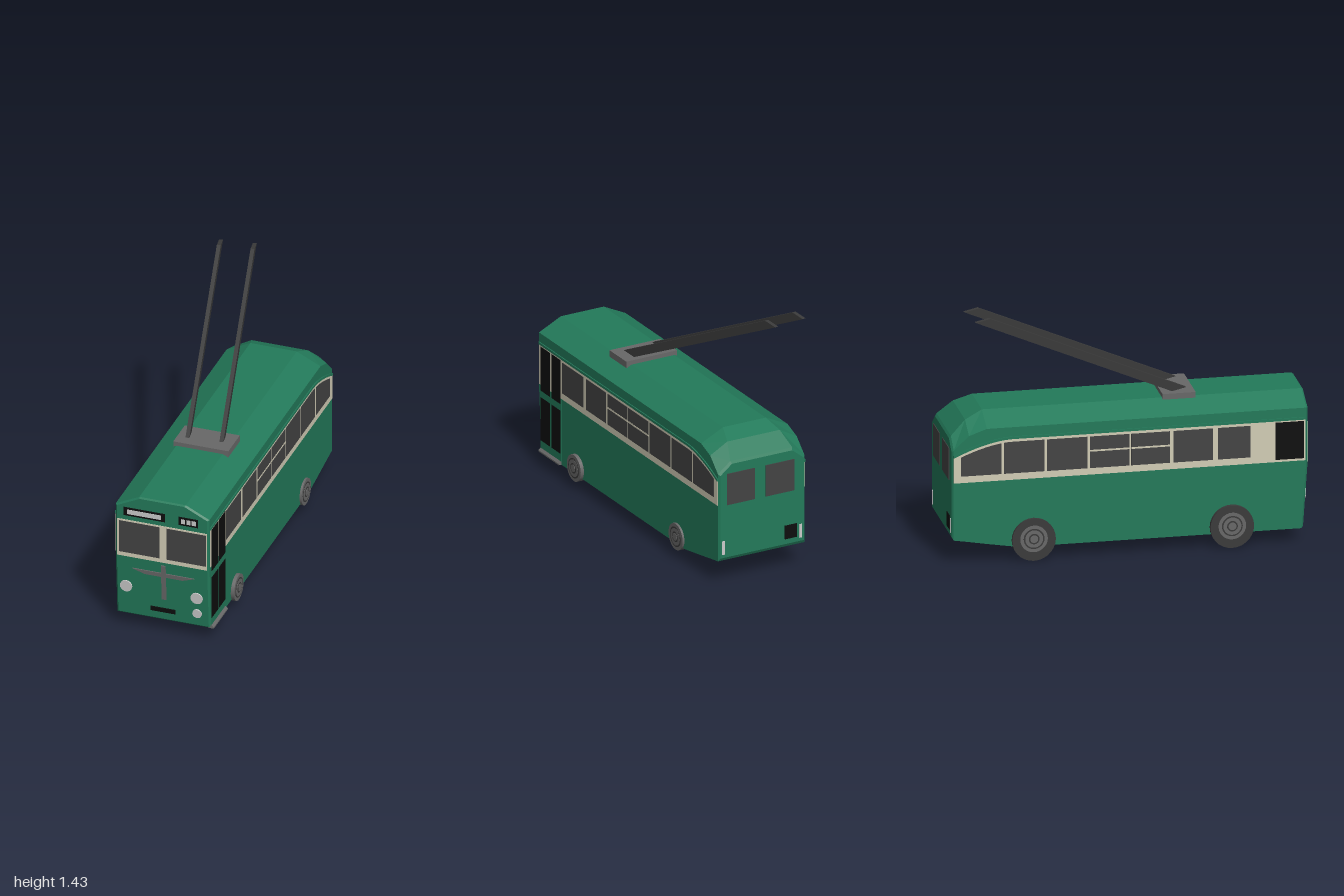
import * as THREE from 'three';

const paint = (name, color) => Object.assign(new THREE.MeshStandardMaterial({ color }), { name });

export function createModel() {
  const green = paint('green paint', 0x237a5a);
  const cream = paint('cream paint', 0xd2cdb6);
  const glass = paint('window glass', 0x444444);
  const black = paint('black', 0x0e0e0e);
  const grey = paint('grey metal', 0x686868);
  const light = paint('pale lamps', 0xcccccc);
  const dark = paint('dark rubber', 0x3a3a3a);

  const model = new THREE.Group();
  model.name = 'trolleybus';
  const CX = 0.0225, W = 0.2725;

  function add(name, geometry, material, parent = model) {
    const mesh = new THREE.Mesh(geometry, material);
    mesh.name = name;
    parent.add(mesh);
    return mesh;
  }
  function box(name, material, x0, x1, y0, y1, z0, z1, parent) {
    const mesh = add(name, new THREE.BoxGeometry(x1 - x0, y1 - y0, z1 - z0), material, parent);
    mesh.position.set((x0 + x1) / 2, (y0 + y1) / 2, (z0 + z1) / 2);
    return mesh;
  }

  // Body shell: eight-point sections lofted from front to back
  const sections = [
    { z: 0.992, w: W - 0.01, b: 0.09, e: 0.77, s: 0.13, t: 0.835, tilt: 0.07 },
    { z: 0.982, w: W, b: 0.08, e: 0.775, s: 0.135, t: 0.842, tilt: 0.07 },
    { z: 0.7, w: W, b: 0.08, e: 0.775, s: 0.135, t: 0.842 },
    { z: -0.62, w: W, b: 0.08, e: 0.775, s: 0.135, t: 0.842 },
    { z: -0.8, w: W, b: 0.11, e: 0.775, s: 0.135, t: 0.842 },
    { z: -0.9, w: W, b: 0.128, e: 0.74, s: 0.165, t: 0.8 },
    { z: -0.985, w: W, b: 0.142, e: 0.66, s: 0.195, t: 0.722 },
    { z: -0.995, w: W - 0.01, b: 0.16, e: 0.65, s: 0.19, t: 0.708 },
  ].map(({ z, w, b, e, s, t, tilt = 0 }) =>
    [[-w, b], [w, b], [w, 0.46], [w, e], [s, t], [-s, t], [-w, e], [-w, 0.46]]
      .map(([x, y]) => [x + CX, y, z - tilt * Math.max(0, 0.46 - y)]));
  const pos = [];
  const tri = (...corners) => corners.forEach((p) => pos.push(...p));
  for (let k = 0; k < sections.length - 1; k++) {
    for (let i = 0; i < 8; i++) {
      const j = (i + 1) % 8, f = sections[k], r = sections[k + 1];
      tri(f[i], r[i], r[j]);
      tri(f[i], r[j], f[j]);
    }
  }
  const front = sections[0], rear = sections[sections.length - 1];
  for (const [p, i, j] of [[0, 1, 2], [0, 2, 7], [7, 2, 3], [7, 3, 6], [6, 3, 4], [6, 4, 5]]) {
    tri(front[p], front[i], front[j]);
    tri(rear[p], rear[j], rear[i]);
  }
  const shell = new THREE.BufferGeometry();
  shell.setAttribute('position', new THREE.Float32BufferAttribute(pos, 3));
  shell.computeVertexNormals();
  add('bodyShell', shell, green);

  // Flat plates on the sides, outlined by [z, y] points
  function sidePlate(name, material, side, points, depth, offset = 0) {
    const shape = new THREE.Shape(points.map(([z, y]) => new THREE.Vector2(-side * z, y)));
    const geometry = new THREE.ExtrudeGeometry(shape, { depth, bevelEnabled: false });
    geometry.rotateY(side * Math.PI / 2);
    add(name, geometry, material).position.x = CX + side * (W + offset);
  }
  const rect = (z0, z1, y0, y1) => [[z0, y0], [z1, y0], [z1, y1], [z0, y1]];
  // Top line of the window band, curving down towards the rear
  const bandTop = (z) => 0.708 - 0.098 * Math.pow(Math.max(0, -0.66 - z) / 0.34, 1.7);
  const curve = (z0, z1, lift) => Array.from({ length: 9 }, (_, i) => {
    const z = z0 + (z1 - z0) * i / 8;
    return [z, bandTop(z) + lift];
  });
  const windows = [[0.72, 0.49], [0.46, 0.24], [0.22, 0.005], [-0.005, -0.225],
    [-0.24, -0.465], [-0.48, -0.705], [-0.72, -0.945]];

  for (const side of [1, -1]) {
    const bandFront = side > 0 ? 0.73 : 0.978;
    sidePlate('creamBand', cream, side,
      [[bandFront, 0.472], [-0.985, 0.472], ...curve(-0.985, -0.66, 0), [bandFront, 0.708]], 0.002);
    sidePlate('gutter', green, side,
      [[0.978, 0.708], ...curve(-0.66, -0.985, 0), ...curve(-0.985, -0.66, 0.014), [0.978, 0.722]], 0.006);
    windows.forEach(([a, b], i) => {
      const start = side < 0 && i === 0 ? 0.67 : a;
      sidePlate('sideWindow', glass, side,
        [[start, 0.51], [b, 0.51], ...curve(b, start, -0.016)], 0.002, 0.002);
      if (i === 2 || i === 3) sidePlate('windowBar', cream, side, rect(a, b, 0.605, 0.615), 0.002, 0.003);
    });
  }

  // Driver's side opening
  sidePlate('cabWindow', black, -1, rect(0.81, 0.968, 0.485, 0.7), 0.002, 0.002);

  // Entrance door with four panes and a step
  sidePlate('doorSurround', cream, 1, rect(0.73, 0.978, 0.472, 0.708), 0.002);
  sidePlate('doorLowerFrame', green, 1, rect(0.73, 0.962, 0.1, 0.472), 0.003);
  for (const [a, b] of [[0.74, 0.838], [0.854, 0.957]]) {
    sidePlate('doorUpperPane', black, 1, rect(a, b, 0.44, 0.7), 0.002, 0.003);
    sidePlate('doorLowerPane', black, 1, rect(a, b, 0.145, 0.4), 0.002, 0.003);
  }
  const stepShape = new THREE.Shape([[0.28, 0.08], [0.312, 0.08], [0.312, 0.088], [0.28, 0.115]]
    .map((p) => new THREE.Vector2(...p)));
  add('doorStep', new THREE.ExtrudeGeometry(stepShape, { depth: 0.225, bevelEnabled: false }), grey)
    .position.z = 0.735;

  // Windscreen and destination displays
  const F = 0.992;
  box('windscreenBand', cream, -0.239, 0.284, 0.46, 0.69, F - 0.004, F + 0.003);
  for (const [a, b] of [[-0.225, 0.01], [0.05, 0.28]]) {
    box('windscreen', glass, a, b, 0.485, 0.68, F, F + 0.005);
  }
  box('destinationBox', black, -0.2, 0.04, 0.718, 0.768, F - 0.003, F + 0.004);
  box('destinationBlind', light, -0.178, 0.017, 0.729, 0.757, F, F + 0.006);
  box('routeBox', black, 0.12, 0.232, 0.718, 0.768, F - 0.003, F + 0.004);
  for (const x of [0.135, 0.166, 0.197]) box('routePanel', light, x, x + 0.023, 0.729, 0.757, F, F + 0.006);

  // Lower front details, leaning with the panel
  const lower = new THREE.Group();
  lower.name = 'lowerFront';
  lower.position.set(0, 0.46, F);
  lower.rotation.x = Math.atan(0.07);
  model.add(lower);
  box('centreTrim', grey, 0.017, 0.043, -0.24, -0.02, -0.001, 0.007, lower);
  const wing = new THREE.Shape([[-0.15, -0.07], [-0.08, -0.094], [0.14, -0.094], [0.21, -0.07]]
    .map((p) => new THREE.Vector2(...p)));
  add('wingTrim', new THREE.ExtrudeGeometry(wing, { depth: 0.006, bevelEnabled: false }), grey, lower);
  box('numberPlate', black, -0.05, 0.093, -0.325, -0.299, -0.001, 0.006, lower);
  for (const [x, y, r] of [[-0.19, -0.195, 0.035], [0.22, -0.195, 0.035], [0.22, -0.295, 0.027]]) {
    const lamp = add('headlamp', new THREE.CylinderGeometry(r, r, 0.009, 20), light, lower);
    lamp.rotation.x = Math.PI / 2;
    lamp.position.set(x, y, 0.003);
  }

  // Rear windows, lamps and plate
  const R = -0.995;
  for (const [a, b] of [[0.07, 0.245], [-0.18, 0]]) box('rearWindow', glass, a, b, 0.47, 0.655, R - 0.004, R + 0.004);
  for (const x of [0.26, -0.227]) box('rearLamp', light, x, x + 0.016, 0.18, 0.26, R - 0.004, R + 0.004);
  box('rearPlate', black, -0.195, -0.12, 0.19, 0.27, R - 0.004, R + 0.004);

  // Wheels: full tyres on one side, hub discs showing on the other
  function disc(name, material, r, x0, x1, y, z) {
    const mesh = add(name, new THREE.CylinderGeometry(r, r, Math.abs(x1 - x0), 28), material);
    mesh.rotation.z = Math.PI / 2;
    mesh.position.set((x0 + x1) / 2, y, z);
  }
  for (const [z, rightX, leftX] of [[0.565, 0.314, -0.272], [-0.54, 0.306, -0.266]]) {
    disc('tyre', dark, 0.122, -0.21, leftX, 0.122, z);
    for (const [x, side] of [[rightX, 1], [leftX, -1]]) {
      disc('hubRim', grey, 0.077, x - side * 0.04, x + side * 0.001, 0.127, z);
      disc('hubRing', dark, 0.058, x - side * 0.02, x + side * 0.003, 0.127, z);
      disc('hubPlate', grey, 0.05, x - side * 0.02, x + side * 0.004, 0.127, z);
      disc('hubGroove', dark, 0.03, x - side * 0.02, x + side * 0.005, 0.127, z);
      disc('hubCap', grey, 0.022, x - side * 0.02, x + side * 0.007, 0.127, z);
    }
  }

  // Roof mount and the two sheared collector poles
  box('poleMount', grey, -0.13, 0.19, 0.828, 0.866, 0.205, 0.39);
  for (const [x0, z0, x1, z1] of [[-0.072, 0.305, -0.302, -0.835], [0.118, 0.285, -0.115, -0.86]]) {
    const geometry = new THREE.BoxGeometry(0.022, 1, 0.085);
    const p = geometry.attributes.position;
    const heading = Math.atan2(x1 - x0, z1 - z0) + Math.PI;
    for (let i = 0; i < p.count; i++) {
      const u = p.getX(i), v = p.getZ(i), t = p.getY(i) + 0.5;
      p.setXYZ(i,
        x0 + (x1 - x0) * t + u * Math.cos(heading) + v * Math.sin(heading),
        0.872 + 0.55 * t + v * 0.15,
        z0 + (z1 - z0) * t - u * Math.sin(heading) + v * Math.cos(heading));
    }
    geometry.computeVertexNormals();
    add('collectorPole', geometry, dark);
  }
  return model;
}
